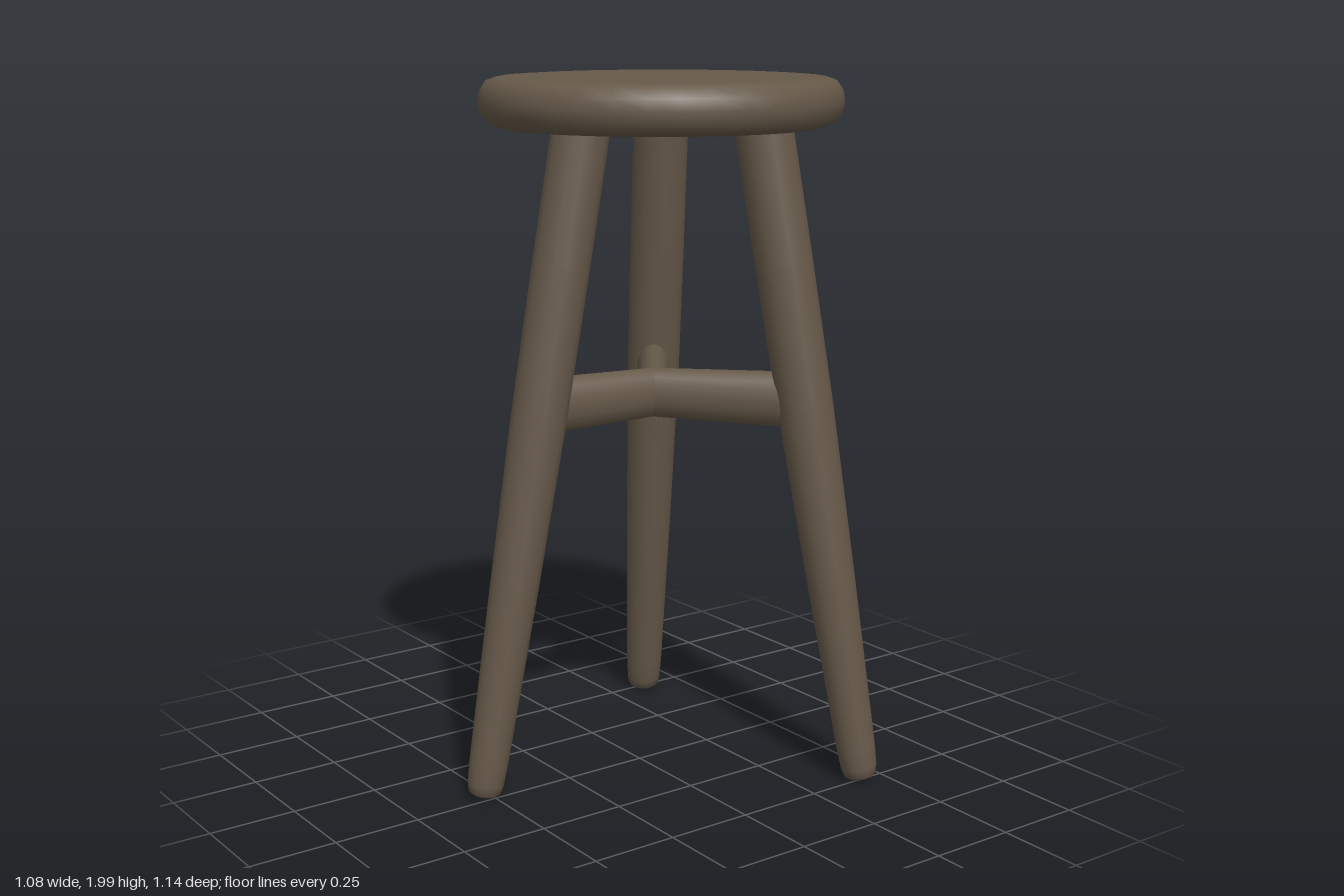
import * as THREE from 'three';

const V3 = (x, y, z) => new THREE.Vector3(x, y, z);
const V2 = (x, y) => new THREE.Vector2(x, y);

export function createModel() {
  const group = new THREE.Group();
  const wood = new THREE.MeshStandardMaterial({ color: 0x665949 });
  wood.name = 'dark wood';

  const add = (name, geometry) => {
    const mesh = new THREE.Mesh(geometry, wood);
    mesh.name = name;
    group.add(mesh);
    return mesh;
  };

  // Round seat with a softly rolled rim
  const seat = add('seat', new THREE.LatheGeometry([
    V2(0, 1.863), V2(0.4, 1.862), V2(0.45, 1.864), V2(0.478, 1.874), V2(0.495, 1.9),
    V2(0.5, 1.93), V2(0.495, 1.962), V2(0.478, 1.988), V2(0.45, 1.997), V2(0.4, 2), V2(0, 2),
  ], 36));
  seat.position.set(0.013, 0, -0.065);
  seat.scale.set(0.994, 1, 1.02);

  // Three splayed legs, tapering to rounded feet
  const legs = [
    { name: 'frontLeg', foot: V3(-0.03, 0.012, 0.52), top: V3(-0.005, 1.9, 0.185) },
    { name: 'backRightLeg', foot: V3(-0.495, 0.012, -0.37), top: V3(-0.232, 1.9, -0.245) },
    { name: 'backLeftLeg', foot: V3(0.493, 0.012, -0.43), top: V3(0.23, 1.9, -0.245) },
  ];
  const up = V3(0, 1, 0);
  for (const { name, foot, top } of legs) {
    const axis = top.clone().sub(foot);
    const length = axis.length();
    const leg = add(name, new THREE.LatheGeometry([
      V2(0, 0), V2(0.034, 0.001), V2(0.046, 0.01), V2(0.052, 0.035), V2(0.056, 0.1),
      V2(0.069, 0.6), V2(0.079, 1.1), V2(0.081, 1.5), V2(0.081, length),
    ], 16));
    leg.position.copy(foot);
    leg.quaternion.setFromUnitVectors(up, axis.normalize());
  }

  // Y-shaped stretcher: one flattened rail from the hub to each leg
  const hub = V3(0, 1.11, -0.045);
  for (const { name, foot, top } of legs) {
    const end = foot.clone().lerp(top, (1.107 - foot.y) / (top.y - foot.y));
    const dx = end.x - hub.x, dz = end.z - hub.z;
    const length = Math.hypot(dx, dz);
    const geometry = new THREE.CylinderGeometry(0.081, 0.071, length, 16, 1);
    geometry.rotateX(Math.PI / 2);
    geometry.scale(0.62, 1, 1);
    geometry.translate(0, 0, length / 2);
    const rail = add(name.replace('Leg', 'Stretcher'), geometry);
    rail.position.copy(hub);
    rail.rotation.y = Math.atan2(dx, dz);
  }

  // Rounded joint where the rails meet
  const joint = add('stretcherHub', new THREE.SphereGeometry(1, 16, 12));
  joint.position.copy(hub);
  joint.scale.set(0.045, 0.071, 0.045);

  return group;
}
